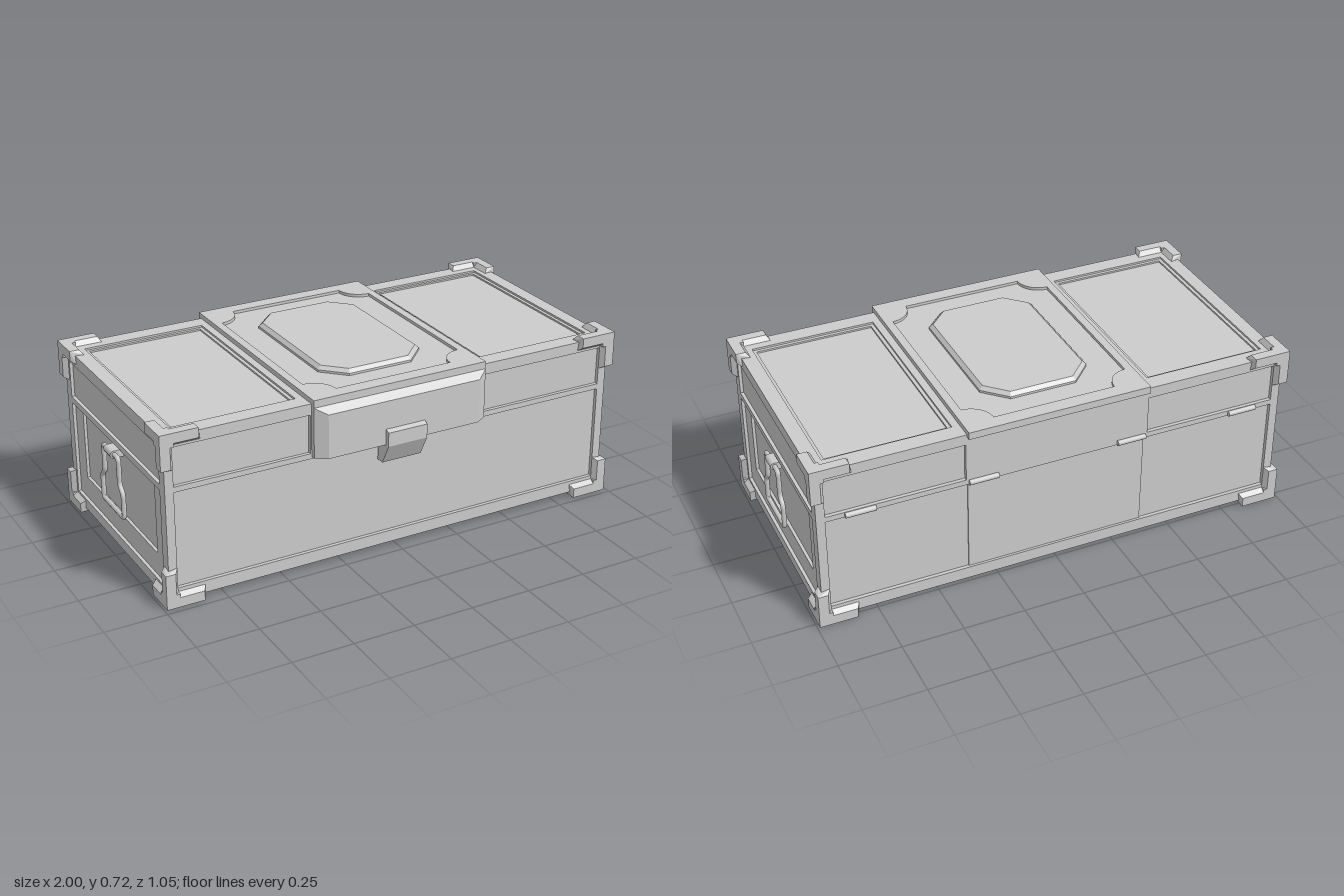
import * as THREE from 'three';

const material = new THREE.MeshStandardMaterial({ color: 0xcccccc });

export function createModel() {
  const model = new THREE.Group();
  model.name = 'chest';
  model.position.z = -0.025; // the clasp reaches further forward than the back corners

  const add = (name, geometry, x = 0, y = 0, z = 0) => {
    const mesh = new THREE.Mesh(geometry, material);
    mesh.name = name;
    mesh.position.set(x, y, z);
    model.add(mesh);
    return mesh;
  };
  // box given by its lower and upper limits
  const box = (name, x0, x1, y0, y1, z0, z1) =>
    add(name, new THREE.BoxGeometry(x1 - x0, y1 - y0, z1 - z0), (x0 + x1) / 2, (y0 + y1) / 2, (z0 + z1) / 2);
  const polygon = (points) => new THREE.Shape(points.map(([x, y]) => new THREE.Vector2(x, y)));
  const rect = (x0, x1, y0, y1) => polygon([[x0, y0], [x1, y0], [x1, y1], [x0, y1]]);

  // flat frame with openings, extruded outwards from one face of the chest
  const turns = {
    front: (g) => g,
    back: (g) => g.rotateY(Math.PI),
    left: (g) => g.rotateY(Math.PI / 2),
    right: (g) => g.rotateY(-Math.PI / 2),
    top: (g) => g.rotateX(-Math.PI / 2),
  };
  const frame = (name, face, outline, holes, from, to) => {
    outline.holes = holes;
    const g = new THREE.ExtrudeGeometry(outline, { depth: to - from, bevelEnabled: false, curveSegments: 8 });
    return add(name, turns[face](g.translate(0, 0, from)));
  };

  // body core, set back behind the frames
  box('bodyCore', -0.945, 0.945, 0.02, 0.675, -0.465, 0.465);

  // front and back frames: one long lower panel, two lid panels
  for (const face of ['front', 'back']) {
    frame(face + 'Frame', face, rect(-0.97, 0.97, 0.02, 0.69), [
      rect(-0.935, 0.935, 0.07, 0.465),
      rect(0.38, 0.935, 0.487, 0.645),
      rect(-0.935, -0.38, 0.487, 0.645),
    ], 0.46, 0.48);
  }
  box('backCentrePanel', -0.37, 0.37, 0.07, 0.465, -0.47, -0.46);

  // end frames, with a second step down to the handle panel
  for (const face of ['left', 'right']) {
    frame(face + 'EndFrame', face, rect(-0.48, 0.48, 0.02, 0.69), [
      rect(-0.433, 0.433, 0.065, 0.462),
      rect(-0.433, 0.433, 0.487, 0.64),
    ], 0.94, 0.97);
    frame(face + 'EndPanel', face, rect(-0.45, 0.45, 0.04, 0.66), [rect(-0.352, 0.352, 0.16, 0.461)], 0.94, 0.957);
  }

  // lid top frame and the stepped rim inside each opening
  const lidOpening = (s, inset) => {
    const a = s * (0.405 + inset), b = s * (0.912 - inset);
    return rect(Math.min(a, b), Math.max(a, b), -0.41 + inset, 0.41 - inset);
  };
  frame('lidTopFrame', 'top', rect(-0.97, 0.97, -0.48, 0.48), [lidOpening(1, 0), lidOpening(-1, 0)], 0.66, 0.69);
  frame('lidTopRim', 'top', rect(-0.95, 0.95, -0.46, 0.46), [lidOpening(1, 0.014), lidOpening(-1, 0.014)], 0.66, 0.682);

  // raised centre strap: a plate whose recess has concave corners
  const w = 0.342, d = 0.44, r = 0.08;
  const recess = new THREE.Path();
  recess.moveTo(-w + r, -d);
  recess.lineTo(w - r, -d);
  recess.absarc(w, -d, r + 0.012, Math.PI, Math.PI / 2, true);
  recess.lineTo(w, d - r);
  recess.absarc(w, d, r + 0.012, -Math.PI / 2, -Math.PI, true);
  recess.lineTo(-w + r, d);
  recess.absarc(-w, d, r + 0.012, 0, -Math.PI / 2, true);
  recess.lineTo(-w, -d + r);
  recess.absarc(-w, -d, r + 0.012, Math.PI / 2, 0, true);
  frame('strapPlate', 'top', rect(-0.375, 0.375, -0.5, 0.5), [recess], 0.68, 0.71);
  box('strapPanel', -0.36, 0.36, 0.68, 0.698, -0.47, 0.47);

  // bevelled octagonal plaque
  const ox = 0.21, oz = 0.325, c = 0.08;
  const octagon = polygon([[ox, -oz + c], [ox, oz - c], [ox - c, oz], [c - ox, oz],
    [-ox, oz - c], [-ox, c - oz], [c - ox, -oz], [ox - c, -oz]]);
  const plaque = new THREE.ExtrudeGeometry(octagon, {
    depth: 0.01, bevelThickness: 0.014, bevelSize: 0.015, bevelSegments: 1,
  });
  add('plaque', plaque.rotateX(-Math.PI / 2), 0, 0.697, 0);

  // front overhang of the strap, tapering forwards
  box('strapFront', -0.375, 0.375, 0.475, 0.69, 0.46, 0.5);
  let taper = new THREE.BoxGeometry(0.75, 0.205, 0.03);
  const p = taper.attributes.position;
  for (let i = 0; i < p.count; i++) {
    if (p.getZ(i) < 0) continue;
    p.setX(i, Math.sign(p.getX(i)) * 0.33);
    if (p.getY(i) > 0) p.setY(i, p.getY(i) - 0.025);
  }
  taper = taper.toNonIndexed();
  taper.computeVertexNormals();
  add('strapFrontTaper', taper, 0, 0.5775, 0.515);

  // clasp, extruded sideways from its profile (z, y)
  const clasp = new THREE.ExtrudeGeometry(
    polygon([[0.47, 0.39], [0.505, 0.39], [0.55, 0.475], [0.55, 0.532], [0.53, 0.54], [0.47, 0.54]]),
    { depth: 0.17, bevelEnabled: false });
  add('clasp', clasp.translate(0, 0, -0.085).rotateY(-Math.PI / 2));

  // hinges along the back seam
  for (const x of [-0.8, -0.31, 0.31, 0.8]) {
    add('hinge', new THREE.CylinderGeometry(0.011, 0.011, 0.12, 12).rotateZ(Math.PI / 2), x, 0.475, -0.484);
  }

  // corner guards: three chamfered bars meeting at each corner
  const section = [[0, 0], [0.04, 0], [0.055, 0.02], [0.055, 0.055], [0.02, 0.055], [0, 0.04]];
  const bar = (length, axis) => {
    const g = new THREE.ExtrudeGeometry(polygon(section), { depth: length, bevelEnabled: false });
    const a = g.attributes.position;
    // round the free end by pulling in its outer edges
    for (let i = 0; i < a.count; i++) {
      if (a.getZ(i) > length / 2 && (a.getX(i) < 0.01 || a.getY(i) < 0.01)) a.setZ(i, length - 0.012);
    }
    // cyclic swap of axes keeps the winding
    for (let n = 0; n < axis; n++) {
      for (let i = 0; i < a.count; i++) a.setXYZ(i, a.getZ(i), a.getX(i), a.getY(i));
    }
    return g;
  };
  const flip = (g) => {
    const a = g.attributes.position;
    for (let i = 0; i < a.count; i += 3) {
      const u = [a.getX(i), a.getY(i), a.getZ(i)];
      a.setXYZ(i, a.getX(i + 1), a.getY(i + 1), a.getZ(i + 1));
      a.setXYZ(i + 1, ...u);
    }
  };
  for (const sx of [-1, 1]) for (const sy of [-1, 1]) for (const sz of [-1, 1]) {
    [0.145, 0.165, 0.155].forEach((length, axis) => {
      const g = bar(length, axis).scale(-sx, -sy, -sz);
      if (sx * sy * sz > 0) flip(g);
      g.computeVertexNormals();
      add('cornerGuard', g, sx * 0.99, sy > 0 ? 0.71 : 0, sz * 0.5);
    });
  }

  // bail handles on both ends
  const half = [[0.073, 0.435], [0.073, 0.325], [0.102, 0.295], [0.102, 0.195]];
  const outline = [...half, ...half.map(([z, y]) => [-z, y]).reverse()];
  for (const s of [-1, 1]) {
    const path = new THREE.CurvePath();
    const pts = outline.map(([z, y]) => new THREE.Vector3(s * 0.983, y, z));
    pts.forEach((pt, i) => {
      const n = pts.length, prev = pts[(i + n - 1) % n], next = pts[(i + 1) % n];
      const toward = (q, from) => from.clone().add(q.clone().sub(from).setLength(0.014));
      path.add(new THREE.QuadraticBezierCurve3(toward(prev, pt), pt, toward(next, pt)));
      path.add(new THREE.LineCurve3(toward(next, pt), toward(pt, next)));
    });
    add('handle', new THREE.TubeGeometry(path, 160, 0.01, 10, true));
    add('handleClamp', new THREE.CylinderGeometry(0.016, 0.016, 0.068, 14).rotateX(Math.PI / 2), s * 0.984, 0.435, 0);
    const inner = s * 0.94, outer = s * 0.984;
    box('handleMount', Math.min(inner, outer), Math.max(inner, outer), 0.42, 0.45, -0.034, 0.034);
  }

  const root = new THREE.Group();
  root.name = 'storageChest';
  root.add(model);
  return root;
}
